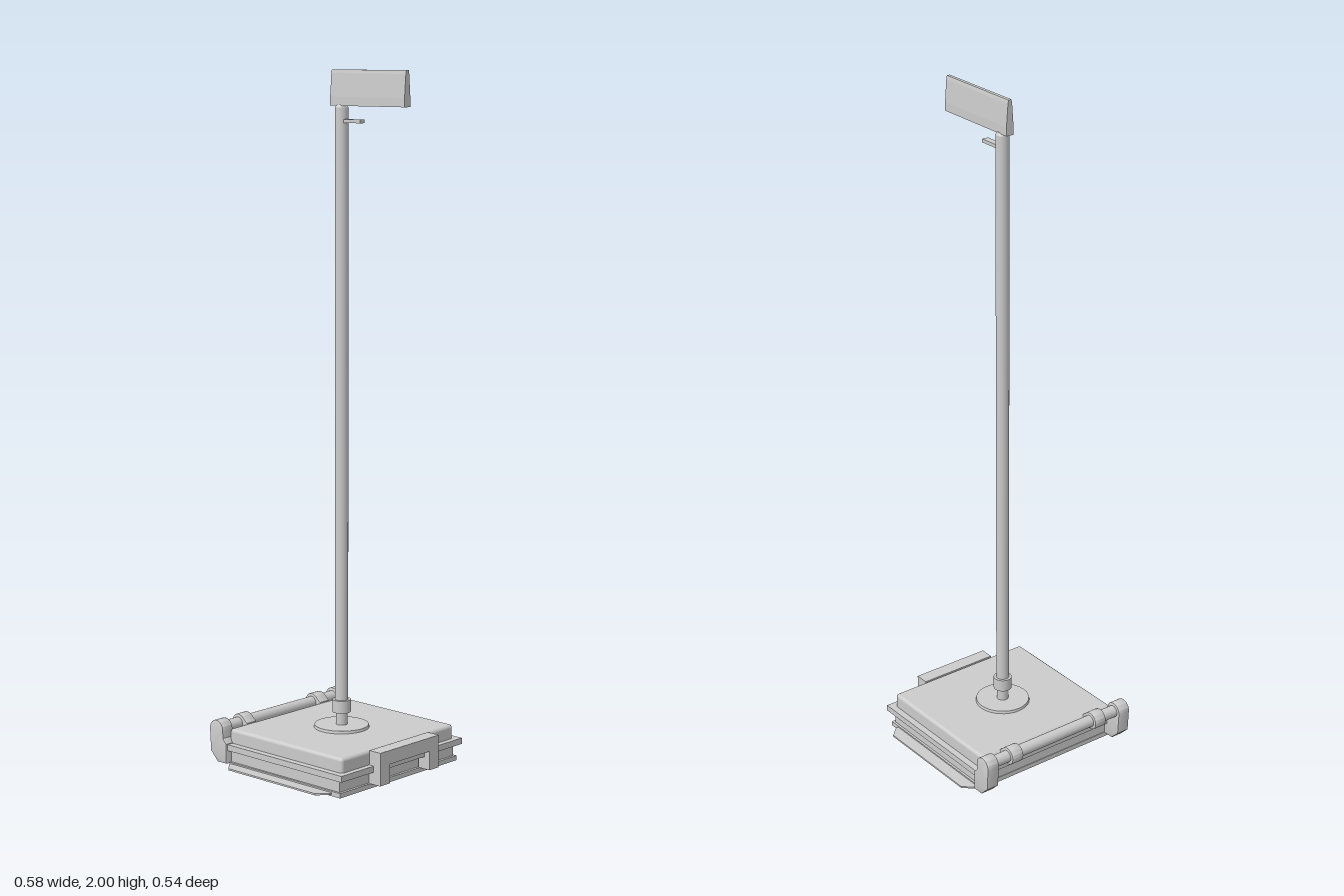
import * as THREE from 'three';
import { RoundedBoxGeometry } from 'three/addons/geometries/RoundedBoxGeometry.js';
import { toCreasedNormals } from 'three/addons/utils/BufferGeometryUtils.js';

const POLE_Z = 0.005;
const ROD_Y = 0.108, ROD_Z = -0.245;

export function createModel() {
  const model = new THREE.Group();
  const material = new THREE.MeshStandardMaterial({ color: 0xcccccc });

  const add = (name, geometry) => {
    const mesh = new THREE.Mesh(geometry, material);
    mesh.name = name;
    model.add(mesh);
    return mesh;
  };

  // Box given by its limits on each axis
  const box = (name, x0, x1, y0, y1, z0, z1) =>
    add(name, new THREE.BoxGeometry(x1 - x0, y1 - y0, z1 - z0)
      .translate((x0 + x1) / 2, (y0 + y1) / 2, (z0 + z1) / 2));

  // Upright cylinder on the pole axis
  const post = (name, rTop, rBottom, y0, y1) =>
    add(name, new THREE.CylinderGeometry(rTop, rBottom, y1 - y0, 32)
      .translate(0, (y0 + y1) / 2, POLE_Z));

  // Side profile (horizontal axis is -z) extruded from x0 to x1
  const sideExtrude = (name, shape, x0, x1, bevel = 0) => {
    const g = new THREE.ExtrudeGeometry(shape, {
      depth: x1 - x0 - 2 * bevel, bevelEnabled: bevel > 0, bevelSize: bevel,
      bevelThickness: bevel, bevelOffset: -bevel, bevelSegments: 2, curveSegments: 16,
    }).rotateY(Math.PI / 2).translate(x0 + bevel, 0, 0);
    return add(name, toCreasedNormals(g, 0.6));
  };

  // Base tray: floor, tapered walls, rim and raised lid
  box('floorPlate', -0.25, 0.25, 0, 0.014, -0.207, 0.232);
  box('trayBody', -0.243, 0.243, 0.014, 0.056, -0.205, 0.224);
  box('trayRim', -0.258, 0.258, 0.05, 0.068, -0.217, 0.245);
  add('lid', new RoundedBoxGeometry(0.476, 0.052, 0.445, 3, 0.01).translate(0, 0.084, 0.0055));

  // Thin ground flange with cut corners
  const flange = new THREE.Shape([
    [-0.288, -0.172], [-0.258, -0.2], [0.258, -0.2], [0.288, -0.172],
    [0.288, 0.172], [0.258, 0.2], [-0.258, 0.2], [-0.288, 0.172],
  ].map(([x, y]) => new THREE.Vector2(x, y)));
  add('groundFlange', new THREE.ExtrudeGeometry(flange, { depth: 0.005, bevelEnabled: false })
    .rotateX(-Math.PI / 2).translate(0, 0.005, 0));

  // Front latch: an upside-down U with a recessed cross bar
  const latch = new THREE.Shape([
    [-0.125, 0.014], [-0.085, 0.014], [-0.085, 0.07], [0.085, 0.07],
    [0.085, 0.014], [0.125, 0.014], [0.125, 0.11], [-0.125, 0.11],
  ].map(([x, y]) => new THREE.Vector2(x, y)));
  add('frontLatch', new THREE.ExtrudeGeometry(latch, { depth: 0.042, bevelEnabled: false })
    .translate(0, 0, 0.228));
  box('latchBar', -0.085, 0.085, 0.05, 0.07, 0.225, 0.25);

  // Rear carrying rod
  add('rearRod', new THREE.CylinderGeometry(0.018, 0.018, 0.48, 24)
    .rotateZ(Math.PI / 2).translate(0, ROD_Y, ROD_Z));

  // Rod end arms: round head, chamfered foot
  const arm = new THREE.Shape();
  arm.moveTo(0.205, 0.012);
  arm.lineTo(0.24, 0.012);
  arm.lineTo(0.268, 0.04);
  arm.lineTo(-ROD_Z + 0.027, ROD_Y);
  arm.absarc(-ROD_Z, ROD_Y, 0.027, 0, Math.PI, false);
  arm.lineTo(0.218, 0.085);
  arm.lineTo(0.205, 0.07);
  arm.closePath();

  // Rod cuffs: round collar with a short tongue to the lid
  const cuff = new THREE.Shape();
  cuff.moveTo(0.21, 0.078);
  cuff.lineTo(-ROD_Z, ROD_Y - 0.027);
  cuff.absarc(-ROD_Z, ROD_Y, 0.027, -Math.PI / 2, Math.PI * 0.8, false);
  cuff.lineTo(0.21, 0.113);
  cuff.closePath();

  for (const [side, s] of [['left', 1], ['right', -1]]) {
    const span = (a, b) => (s > 0 ? [a, b] : [-b, -a]);
    sideExtrude(side + 'RodArm', arm, ...span(0.225, 0.265), 0.002);
    sideExtrude(side + 'RodCuff', cuff, ...span(0.135, 0.175), 0.003);
  }

  // Pole with its foot disc and collar
  post('footDisc', 0.079, 0.081, 0.108, 0.118);
  post('poleFoot', 0.017, 0.017, 0.115, 0.16);
  post('poleCollar', 0.027, 0.027, 0.155, 0.192);
  post('pole', 0.019, 0.019, 0.19, 1.895);
  post('poleCap', 0.014, 0.019, 1.895, 1.903);

  // Small flat peg below the sign
  box('peg', -0.01, 0.01, 1.853, 1.863, 0.015, 0.083);

  // Sign blade, thinner towards its top edge
  const blade = new THREE.Shape([
    [-0.012, 1.9], [0.012, 1.9], [0.012, 1.925], [0.007, 1.99],
    [0.005, 2], [-0.005, 2], [-0.007, 1.99], [-0.012, 1.925],
  ].map(([x, y]) => new THREE.Vector2(x, y)));
  add('signBlade', new THREE.ExtrudeGeometry(blade, { depth: 0.278, bevelEnabled: false })
    .translate(0, 0, -0.028));

  return model;
}
